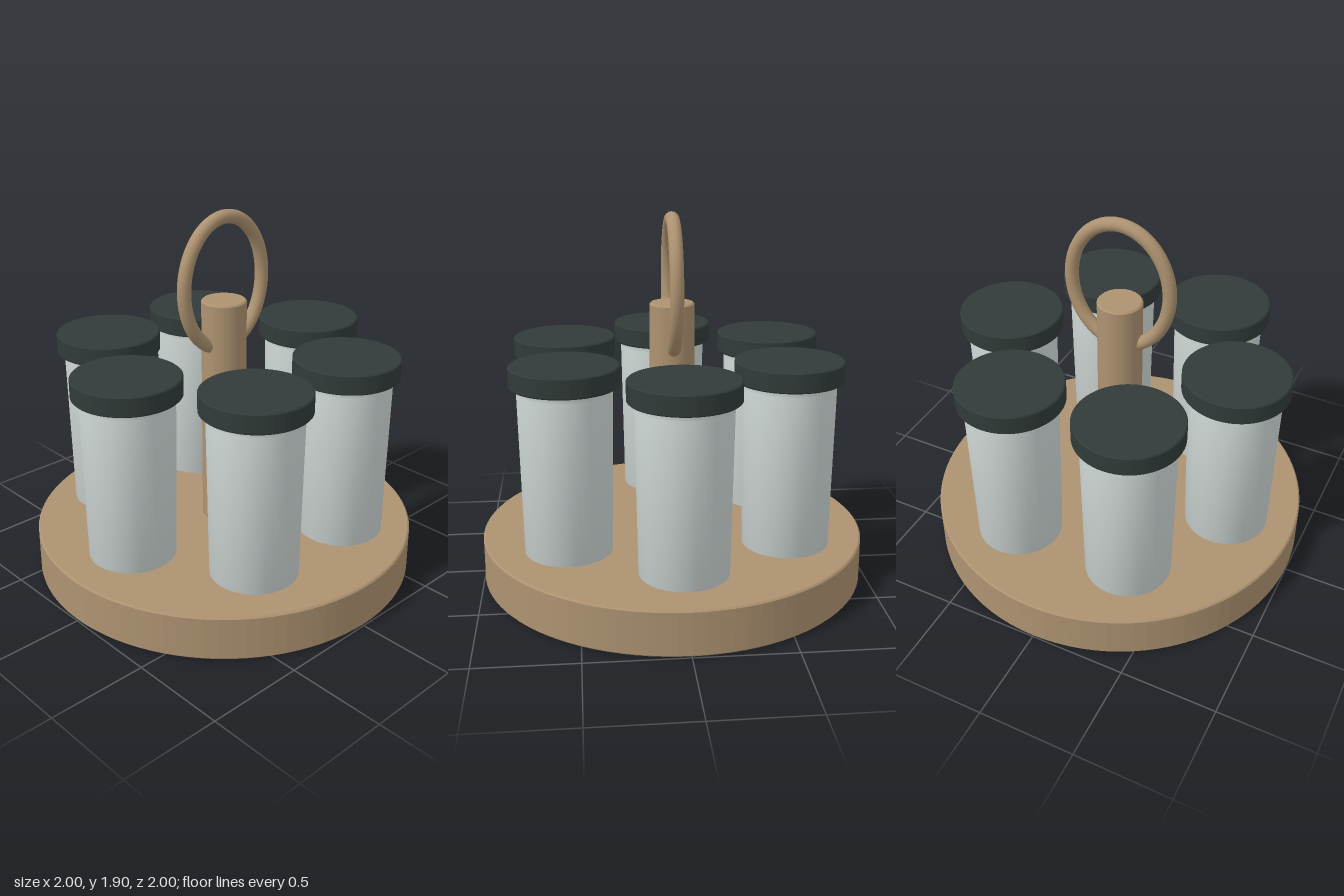
import * as THREE from 'three';

const wood = new THREE.MeshStandardMaterial({ color: 0xad9270 });
wood.name = 'wood';
const dark = new THREE.MeshStandardMaterial({ color: 0x313b39 });
dark.name = 'darkLid';
const glass = new THREE.MeshStandardMaterial({ color: 0xd3dcda, side: THREE.DoubleSide });
glass.name = 'paleGlass';

function add(parent, name, geometry, material) {
  const mesh = new THREE.Mesh(geometry, material);
  mesh.name = name;
  parent.add(mesh);
  return mesh;
}

// Solid disc with a small chamfer; doubled rows keep its edges crisp
function disc(radius, y0, y1, bevel, segments = 64) {
  const corners = [[0, y0], [radius - bevel, y0], [radius, y0 + bevel],
    [radius, y1 - bevel], [radius - bevel, y1], [0, y1]];
  const points = [];
  corners.forEach(([r, y], i) => {
    points.push(new THREE.Vector2(r, y));
    if (i > 0 && i < 5) points.push(new THREE.Vector2(r, y + 1e-5));
  });
  // Separate each span so its normals do not blend with its neighbours
  return new THREE.LatheGeometry(points, segments).toNonIndexed();
}

function crisp(geometry) {
  geometry.computeVertexNormals();
  return geometry;
}

// Closed ellipse in the front plane
class Ellipse extends THREE.Curve {
  getPoint(t, target = new THREE.Vector3()) {
    const a = t * Math.PI * 2;
    return target.set(0.265 * Math.cos(a), 1.53 + 0.335 * Math.sin(a), 0);
  }
}

export function createModel() {
  const model = new THREE.Group();
  model.name = 'jarCarousel';

  // Base with dark pad beneath
  add(model, 'base', crisp(disc(1, 0.003, 0.235, 0.008, 96)), wood);
  add(model, 'basePad', new THREE.CylinderGeometry(0.65, 0.65, 0.008, 64), dark).position.y = 0.004;

  // Central post and ring handle
  add(model, 'post', crisp(disc(0.115, 0.22, 1.445, 0.008, 48)), wood);
  add(model, 'ringHandle', new THREE.TubeGeometry(new Ellipse(), 80, 0.035, 16, true), wood);

  // Six lidded jars around the post
  const jarProfile = [[0, 0.255], [0.22, 0.255], [0.234, 1.08], [0.247, 1.115]]
    .map(([r, y]) => new THREE.Vector2(r, y));
  const jarGeometry = new THREE.LatheGeometry(jarProfile, 48);
  const lidGeometry = crisp(disc(0.27, 1.11, 1.212, 0.006));
  for (let i = 0; i < 6; i++) {
    const angle = (i * Math.PI) / 3;
    const jar = new THREE.Group();
    jar.name = 'jar' + (i + 1);
    jar.position.set(0.635 * Math.cos(angle), 0, 0.635 * Math.sin(angle));
    add(jar, 'jarBody', jarGeometry, glass);
    add(jar, 'jarLid', lidGeometry, dark);
    model.add(jar);
  }
  return model;
}
